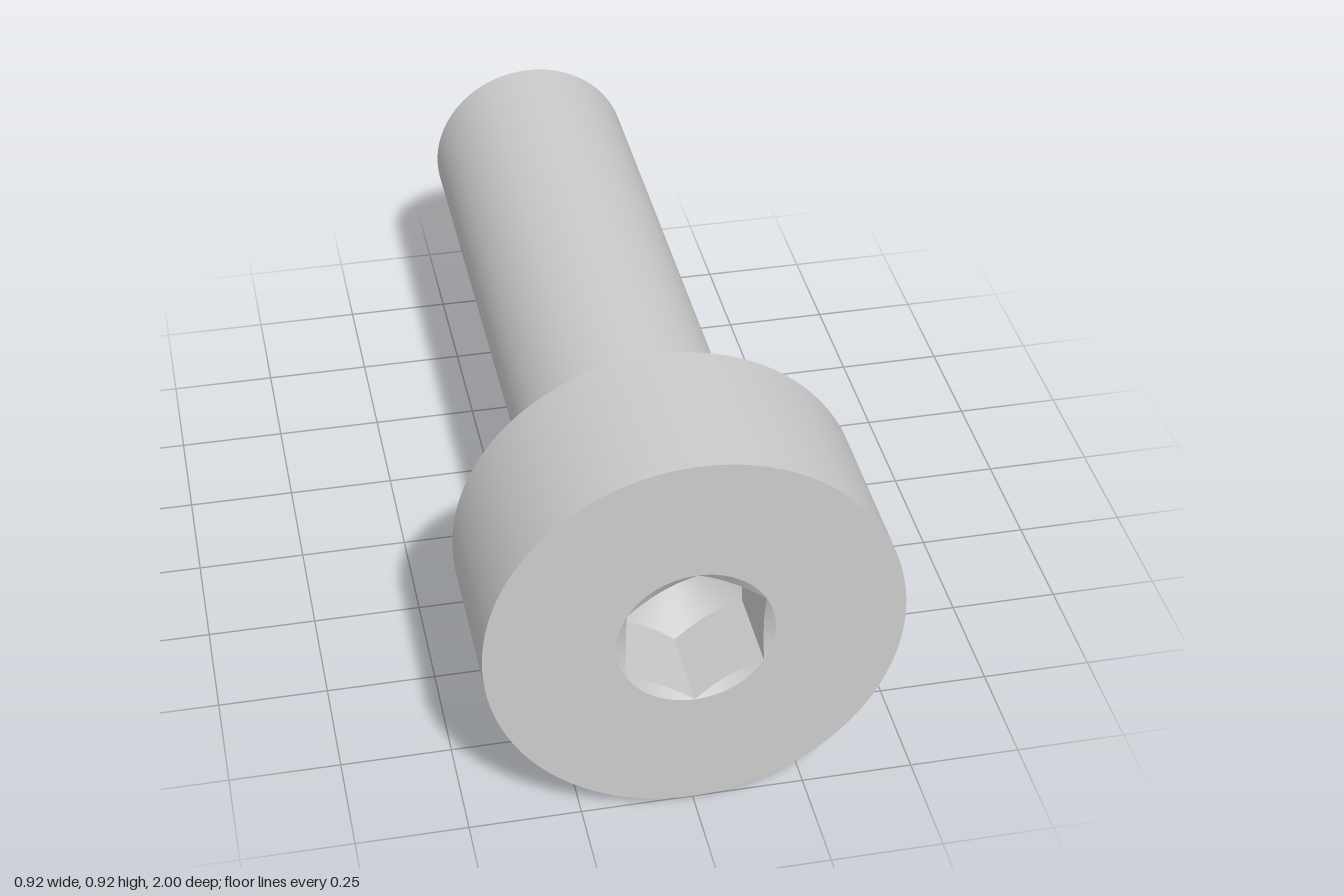
import * as THREE from 'three';
import { toCreasedNormals } from 'three/addons/utils/BufferGeometryUtils.js';

const SEGMENTS = 96;        // multiple of 12, so hexagon corners fall on segments
const AXIS_Y = 0.46;        // height of the screw axis
const APOTHEM = 0.15;       // half the width across the socket flats
const CORNER = APOTHEM / Math.cos(Math.PI / 6);
const SLOPE = Math.tan(Math.PI / 6); // entry chamfer and drill point

const material = new THREE.MeshStandardMaterial({ color: 0xcccccc });

// Lathe a [radius, z] profile around the z axis
function turned(profile) {
  const points = profile.map(([r, z]) => new THREE.Vector2(r, z));
  return new THREE.LatheGeometry(points, SEGMENTS).rotateX(Math.PI / 2);
}

function part(name, geometry) {
  const mesh = new THREE.Mesh(toCreasedNormals(geometry, 0.4), material);
  mesh.name = name;
  mesh.position.y = AXIS_Y;
  return mesh;
}

// Hexagon radius in a given direction, corners at top and bottom
function hexRadius(angle) {
  const side = Math.PI / 3;
  const a = ((angle % side) + side) % side;
  return APOTHEM / Math.cos(Math.min(a, side - a));
}

// Chamfered mouth, six flat walls and a conical floor
function socketGeometry() {
  const geometry = turned([[CORNER, 1], [CORNER, 1], [CORNER, 0.8], [0, 0.8 - CORNER * SLOPE]]);
  const pos = geometry.attributes.position;
  for (let i = 0; i < pos.count; i++) {
    const row = i % 4;
    if (row !== 1 && row !== 2) continue;
    // the cones meet the flats a little deeper than the corners
    const angle = Math.atan2(pos.getY(i), pos.getX(i));
    const r = hexRadius(angle);
    const z = pos.getZ(i) - (CORNER - r) * SLOPE;
    pos.setXYZ(i, r * Math.cos(angle), r * Math.sin(angle), z);
  }
  return geometry;
}

export function createModel() {
  const group = new THREE.Group();
  group.name = 'socketHeadScrew';
  group.add(
    part('shank', turned([[0, -1], [0.25, -1], [0.25, 0.6]])),
    part('head', turned([[0.25, 0.6], [0.46, 0.6], [0.46, 1], [CORNER, 1]])),
    part('hexSocket', socketGeometry()),
  );
  return group;
}
